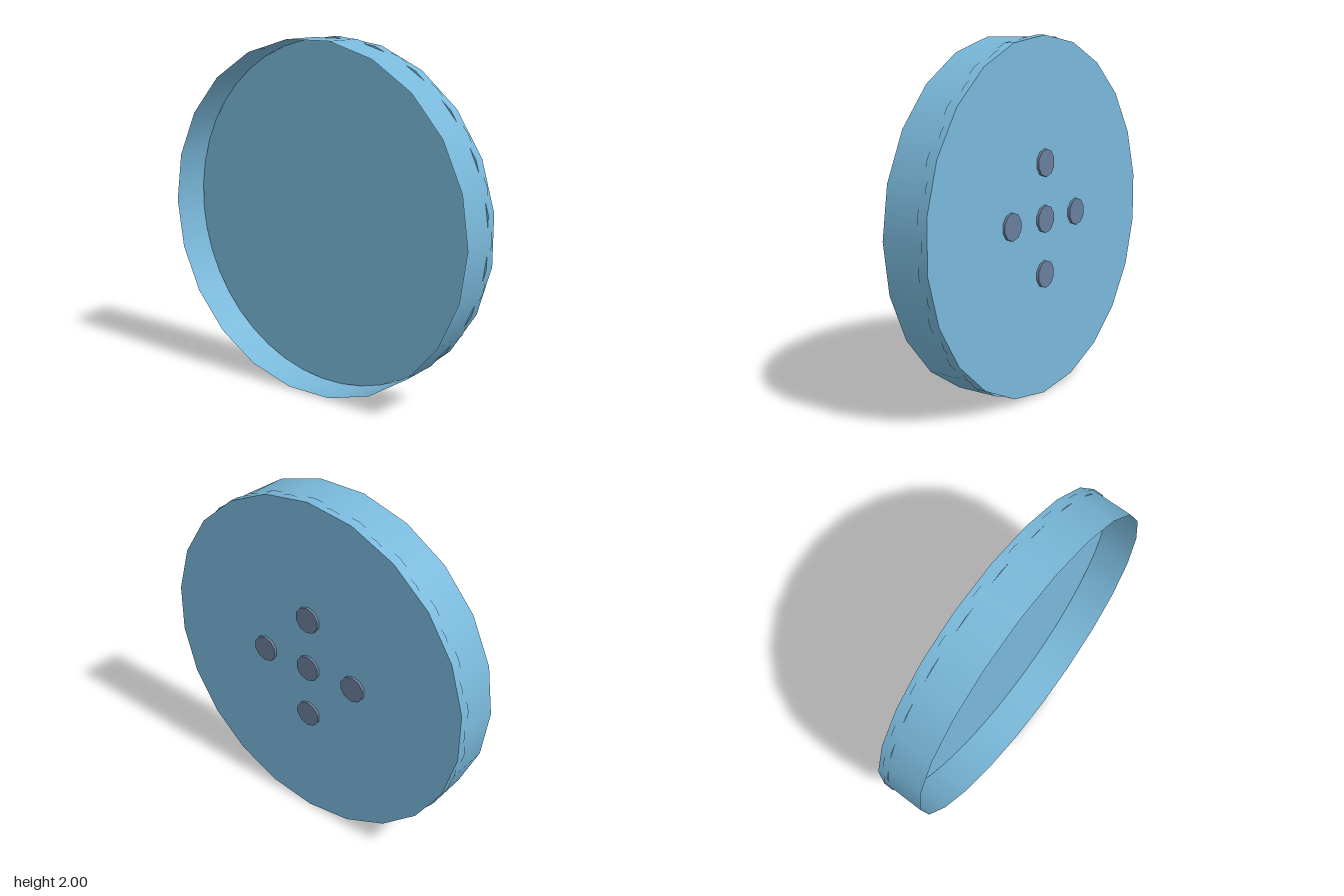
import * as THREE from 'three';

const SIDES = 22;

export function createModel() {
  const model = new THREE.Group();
  model.name = 'roundDish';

  const blue = new THREE.MeshStandardMaterial({ color: 0x79b8da });
  blue.name = 'skyBlue';
  const blueRim = blue.clone(); // same colour, seen from both sides
  blueRim.side = THREE.DoubleSide;
  const slate = new THREE.MeshStandardMaterial({ color: 0x6a7f9c });
  slate.name = 'slateBlue';

  // Cylinder lying along z between two depths
  function drum(name, material, radius, zBack, zFront, sides, open = false, start = 0, x = 0, y = 1) {
    const geometry = new THREE.CylinderGeometry(radius, radius, zFront - zBack, sides, 1, open, start);
    geometry.rotateX(Math.PI / 2);
    const mesh = new THREE.Mesh(geometry, material);
    mesh.name = name;
    mesh.position.set(x, y, (zBack + zFront) / 2);
    model.add(mesh);
  }

  // Solid back plate, with corners at top and bottom
  drum('backPlate', blue, 1, -0.131, -0.07, SIDES);

  // Thin open rim, turned so its corners sit left and right
  drum('rim', blueRim, 1, -0.103, 0.146, SIDES, true, Math.PI / 2);

  // Five studs in a cross on the back
  const step = 0.311;
  for (const [i, j] of [[0, 0], [1, 0], [-1, 0], [0, 1], [0, -1]]) {
    drum('stud', slate, 0.077, -0.146, -0.11, 10, false, 0, i * step, 1 + j * step);
  }
  return model;
}
